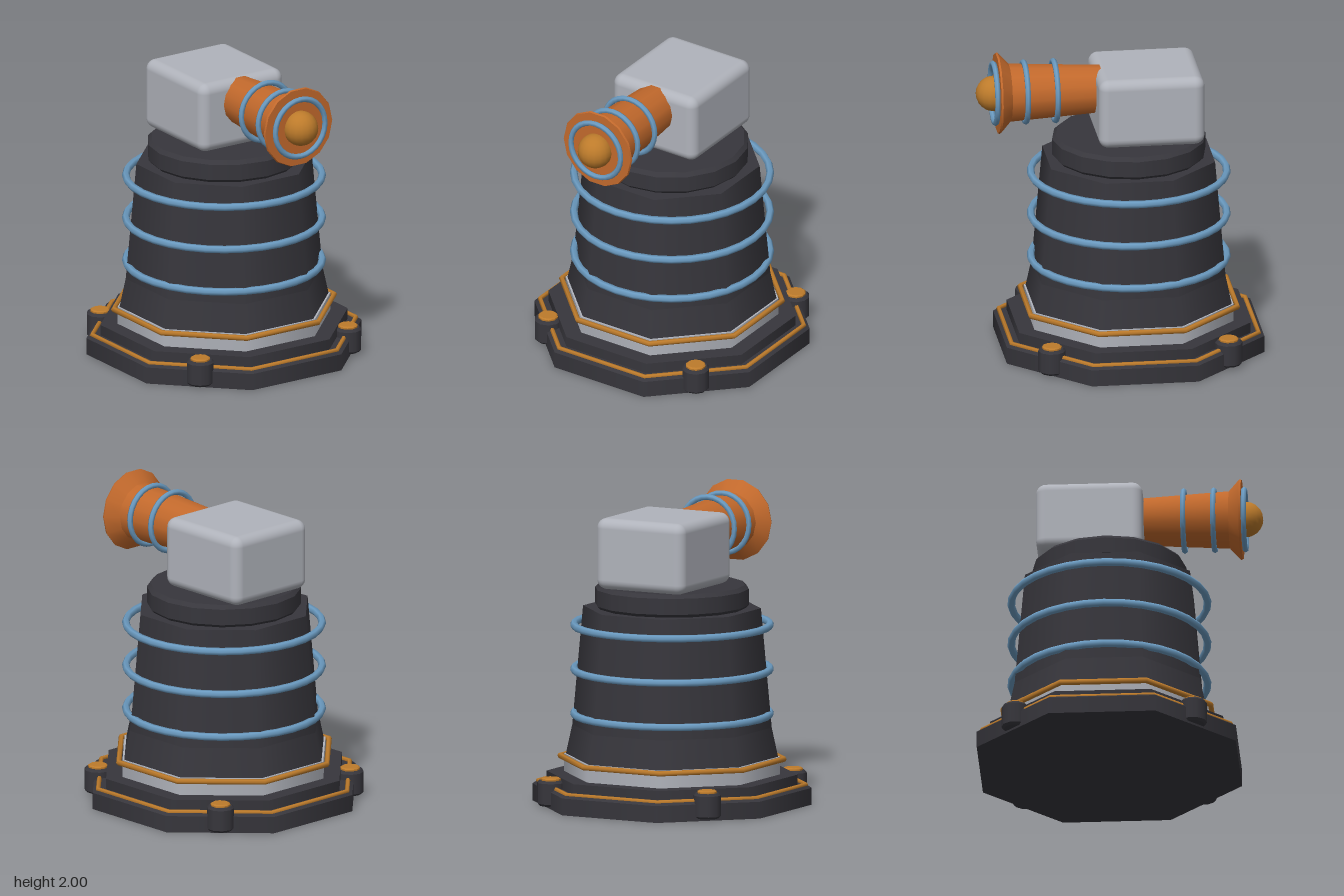
import * as THREE from 'three';
import { RoundedBoxGeometry } from 'three/addons/geometries/RoundedBoxGeometry.js';

const flat = (name, color) => {
  const m = new THREE.MeshStandardMaterial({ color });
  m.name = name;
  return m;
};

export function createModel() {
  const dark = flat('charcoal', 0x37363c);
  const grey = flat('light grey', 0xb0b3bb);
  const copper = flat('copper', 0xc2692c);
  const gold = flat('gold', 0xbd7b2b);
  const blue = flat('blue', 0x6b9bc1);

  const model = new THREE.Group();
  model.name = 'turret';
  const tower = new THREE.Group();
  tower.name = 'tower';
  tower.position.z = -0.08;
  const gun = new THREE.Group();
  gun.name = 'gun';
  gun.position.y = 1.74;
  model.add(tower, gun);

  const add = (parent, name, geometry, material) => {
    const mesh = new THREE.Mesh(geometry, material);
    mesh.name = name;
    parent.add(mesh);
    return mesh;
  };

  // Octagons are sized by the distance from centre to flat side
  const OCT = 1 / Math.cos(Math.PI / 8);
  // Stack of truncated cones through [radius, y] points; only the ends are capped
  const stack = (parent, name, points, sides, material, start = 0) => {
    const group = new THREE.Group();
    group.name = name;
    for (let i = 0; i < points.length - 1; i++) {
      const [r0, y0] = points[i], [r1, y1] = points[i + 1];
      const geo = new THREE.CylinderGeometry(r1, r0, y1 - y0, sides, 1, i > 0 && i < points.length - 2, start);
      geo.translate(0, (y0 + y1) / 2, 0);
      add(group, name + 'Section', geo, material);
    }
    parent.add(group);
    return group;
  };
  const octagon = (name, points, material) =>
    stack(tower, name, points.map(([r, y]) => [r * OCT, y]), 8, material, Math.PI / 8);
  const octagonTrim = (name, r, tube, y) => {
    const geo = new THREE.TorusGeometry(r * OCT, tube * OCT, 6, 8);
    geo.rotateX(Math.PI / 2).rotateY(Math.PI / 8).translate(0, y, 0);
    add(tower, name, geo, gold);
  };

  // Stepped octagonal base with gold trims
  octagon('base', [[0.84, 0], [0.84, 0.11], [0.82, 0.125]], dark);
  octagonTrim('baseTrim', 0.805, 0.015, 0.128);
  octagon('baseStep', [[0.755, 0.12], [0.755, 0.195]], dark);
  octagon('collar', [[0.65, 0.19], [0.65, 0.31]], grey);
  octagonTrim('collarTrim', 0.673, 0.017, 0.295);

  // Tapering body and turntable
  octagon('body', [[0.64, 0.3], [0.6, 0.5], [0.535, 1.28]], dark);
  stack(tower, 'turntable', [[0.475, 1.275], [0.5, 1.3], [0.5, 1.405], [0.475, 1.43]], 16, dark);

  // Coils around the body
  for (const y of [0.585, 0.875, 1.165]) {
    const geo = new THREE.TorusGeometry(0.636, 0.025, 6, 32);
    geo.rotateX(Math.PI / 2).translate(0, y, 0);
    add(tower, 'bodyCoil', geo, blue);
  }

  // Four corner bolts
  for (const x of [-1, 1]) for (const z of [-1, 1]) {
    const bolt = new THREE.Group();
    bolt.name = 'cornerBolt';
    bolt.position.set(x * 0.577, 0, z * 0.577);
    stack(bolt, 'boltPost', [[0.075, 0.015], [0.09, 0.03], [0.09, 0.165], [0.077, 0.18]], 10, dark);
    stack(bolt, 'boltCap', [[0.065, 0.17], [0.065, 0.19], [0.055, 0.197]], 10, gold);
    tower.add(bolt);
  }

  // Rounded head block
  const head = add(model, 'head', new RoundedBoxGeometry(0.65, 0.465, 0.69, 4, 0.065), grey);
  head.position.set(0, 1.6625, -0.195);

  // Barrel with flared muzzle, built upright and tipped forward
  const barrel = stack(gun, 'barrel', [[0.15, 0.02], [0.19, 0.7], [0.267, 0.77], [0.262, 0.782]], 14, copper, Math.PI / 2);
  barrel.rotation.x = Math.PI / 2;

  // Barrel coils and glowing tip
  for (const z of [0.405, 0.6, 0.798]) {
    add(gun, 'barrelCoil', new THREE.TorusGeometry(0.194, 0.019, 6, 28), blue).position.z = z;
  }
  add(gun, 'muzzleBall', new THREE.SphereGeometry(0.115, 18, 12), gold).position.z = 0.803;

  return model;
}
